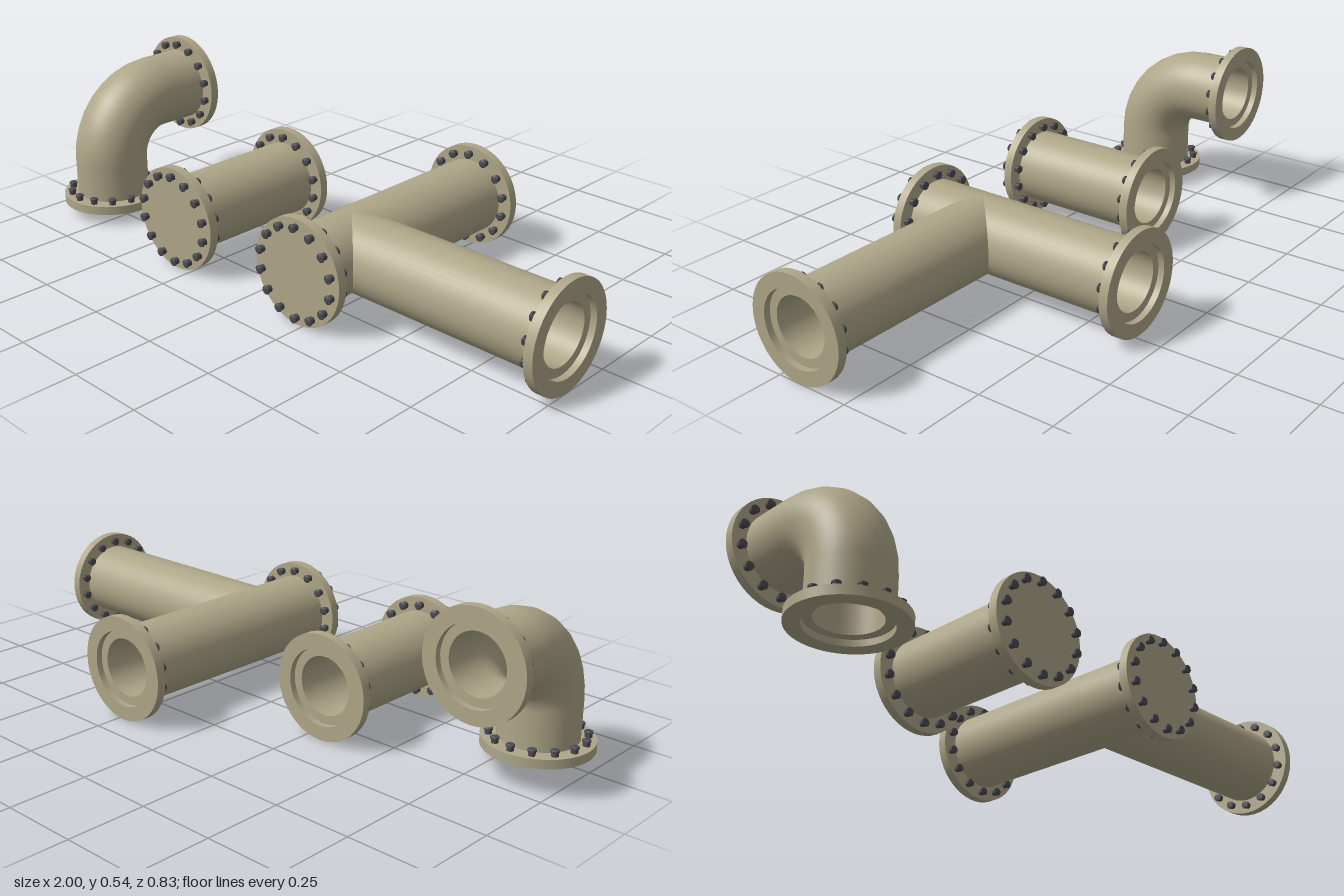
import * as THREE from 'three';
import { toCreasedNormals } from 'three/addons/utils/BufferGeometryUtils.js';

const R = 0.12, BORE = 0.092, FLANGE = 0.166, T = 0.029, AXIS = 0.167;
const BOLTS = 14, BOLT_CIRCLE = 0.142, SIDES = 48;

const paint = new THREE.MeshStandardMaterial({ color: 0xaea688, side: THREE.DoubleSide });
const steel = new THREE.MeshStandardMaterial({ color: 0x4a4a50 });

function add(parent, name, geometry, material = paint) {
  const mesh = new THREE.Mesh(geometry, material);
  mesh.name = name;
  parent.add(mesh);
  return mesh;
}

// Open tube along z; each end may be cut to a mitre given as a function of x
function wallGeometry(r, start, end) {
  const pos = [], nor = [], idx = [];
  for (let i = 0; i <= SIDES; i++) {
    const a = (i / SIDES) * Math.PI * 2;
    const x = r * Math.cos(a), y = r * Math.sin(a);
    pos.push(x, y, start(x), x, y, end(x));
    nor.push(x / r, y / r, 0, x / r, y / r, 0);
    if (i < SIDES) {
      const k = i * 2;
      idx.push(k, k + 2, k + 1, k + 2, k + 3, k + 1);
    }
  }
  const g = new THREE.BufferGeometry();
  g.setAttribute('position', new THREE.Float32BufferAttribute(pos, 3));
  g.setAttribute('normal', new THREE.Float32BufferAttribute(nor, 3));
  g.setIndex(idx);
  return g;
}

// Outer wall and bore of a pipe along z
function pipe(parent, name, start, end) {
  const fn = (v) => (typeof v === 'function' ? v : () => v);
  const g = new THREE.Group();
  g.name = name;
  add(g, 'outerWall', wallGeometry(R, fn(start), fn(end)));
  add(g, 'bore', wallGeometry(BORE, fn(start), fn(end)));
  parent.add(g);
  return g;
}

// Bolt head with a slightly wider washer, lying along z
const boltGeometry = toCreasedNormals(new THREE.LatheGeometry(
  [[0, 0], [0.011, 0], [0.011, 0.012], [0.0135, 0.013], [0.0135, 0.018], [0.011, 0.02], [0, 0.02]]
    .map((p) => new THREE.Vector2(...p)), 10).rotateX(Math.PI / 2), 0.7);

// Flange whose outer face lies at local z = 0, looking along +z
function flange(parent, name, position, rx, ry, blind = false) {
  const g = new THREE.Group();
  g.name = name;
  const profile = blind
    ? [[R - 0.002, -T], [FLANGE, -T], [FLANGE, 0], [0, 0]]
    : [[R - 0.002, -T], [FLANGE, -T], [FLANGE, 0], [R, 0], [R, -0.02], [BORE, -0.02]];
  const lathe = new THREE.LatheGeometry(profile.map((p) => new THREE.Vector2(...p)), SIDES);
  add(g, 'flangeRing', toCreasedNormals(lathe.rotateX(Math.PI / 2), 0.6));
  if (blind) {
    // inner face of the closed end
    add(g, 'blindPlate', new THREE.CircleGeometry(R, SIDES)).position.z = -T + 0.002;
  }
  for (let i = 0; i < BOLTS; i++) {
    const a = Math.PI / 2 + (i / BOLTS) * Math.PI * 2;
    const x = BOLT_CIRCLE * Math.cos(a), y = BOLT_CIRCLE * Math.sin(a);
    const nut = add(g, 'bolt', boltGeometry, steel);
    nut.position.set(x, y, -T);
    nut.rotation.y = Math.PI;
    if (blind) add(g, 'boltHead', boltGeometry, steel).position.set(x, y, 0);
  }
  g.position.set(...position);
  g.rotation.set(rx, ry, 0);
  parent.add(g);
}

function elbow() {
  const g = new THREE.Group();
  g.name = 'elbowPipe';
  const bend = 0.19, cy = 0.187, cz = 0.048, bottom = 0.04, back = -0.109;
  for (const [name, r] of [['bendWall', R], ['bendBore', BORE]]) {
    const torus = new THREE.TorusGeometry(bend, r, SIDES, 8, Math.PI / 2);
    add(g, name, torus.rotateY(-Math.PI / 2)).position.set(0, cy, cz);
  }
  pipe(g, 'upperPipe', back + 0.02, cz).position.y = cy + bend;
  const lower = pipe(g, 'lowerPipe', 0, cy - bottom - 0.02);
  lower.rotation.x = -Math.PI / 2;
  lower.position.set(0, bottom + 0.02, cz + bend);
  flange(g, 'backFlange', [0, cy + bend, back], 0, Math.PI);
  flange(g, 'bottomFlange', [0, bottom, cz + bend], Math.PI / 2, 0);
  g.position.x = -0.834;
  return g;
}

function straight() {
  const g = new THREE.Group();
  g.name = 'straightPipe';
  pipe(g, 'pipe', -0.089, 0.37);
  flange(g, 'frontFlange', [0, 0, 0.395], 0, 0, true);
  flange(g, 'backFlange', [0, 0, -0.109], 0, Math.PI);
  g.position.set(-0.305, AXIS, 0);
  return g;
}

// Tee built around the crossing of its two axes; equal bores meet in a mitre
function tee() {
  const g = new THREE.Group();
  g.name = 'teePipe';
  const cx = 0.23, cz = 0.17;
  pipe(g, 'frontRun', (x) => Math.max(0, x), 0.37 - cz);
  pipe(g, 'backRun', -0.395 - cz, (x) => -Math.max(0, x));
  pipe(g, 'branch', Math.abs, 1 - cx - 0.02).rotation.y = Math.PI / 2;
  flange(g, 'frontFlange', [0, 0, 0.395 - cz], 0, 0, true);
  flange(g, 'backFlange', [0, 0, -0.415 - cz], 0, Math.PI);
  flange(g, 'branchFlange', [1 - cx, 0, 0], 0, Math.PI / 2);
  g.position.set(cx, AXIS, cz);
  return g;
}

export function createModel() {
  const model = new THREE.Group();
  model.name = 'pipeFittings';
  model.add(elbow(), straight(), tee());
  return model;
}
